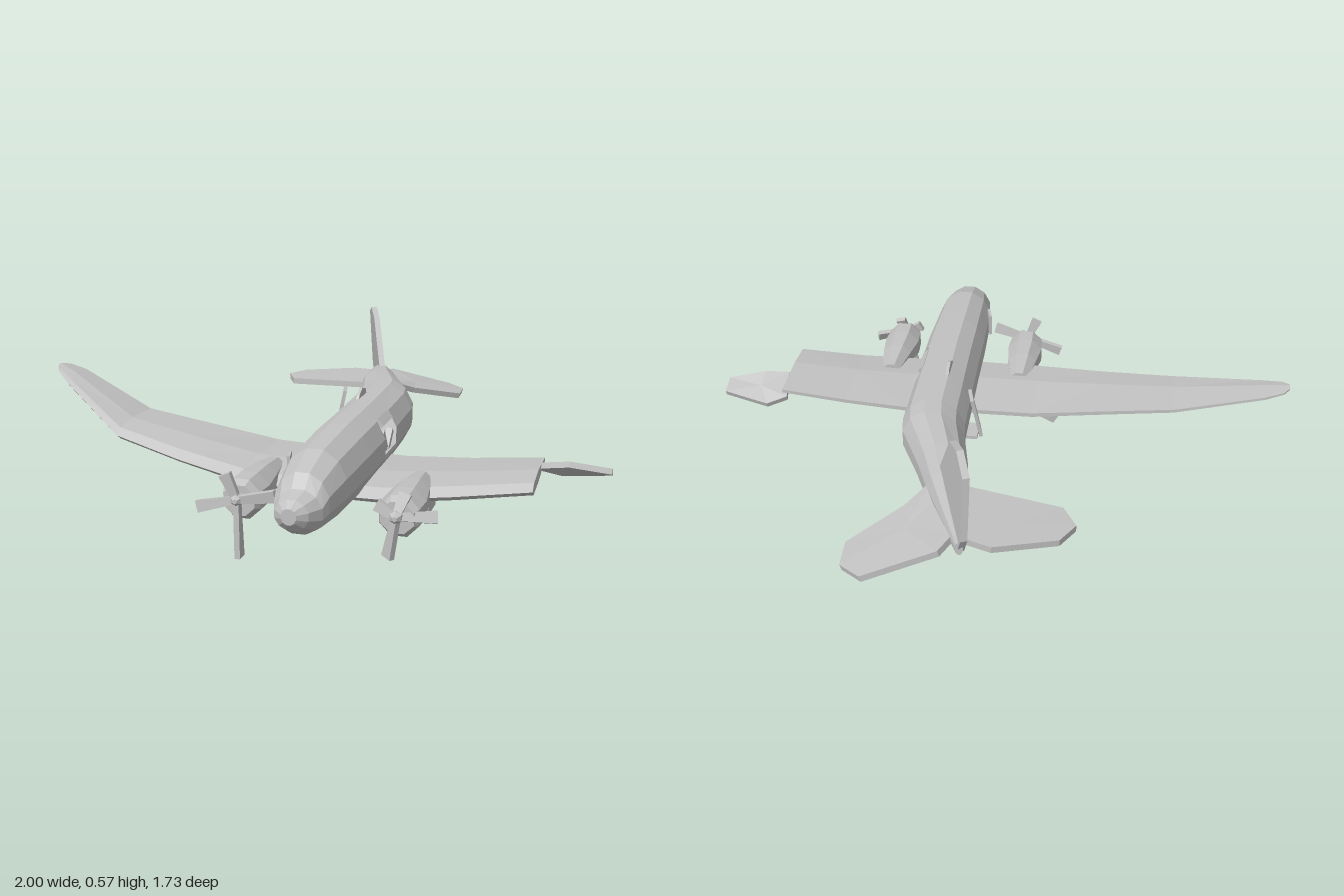
import * as THREE from 'three';

const grey = new THREE.MeshStandardMaterial({ color: 0xc2c2c2, flatShading: true, side: THREE.DoubleSide });
grey.name = 'bare metal grey';
const V = (x, y, z) => new THREE.Vector3(x, y, z);

// Skin between equal rings of points, capped at both ends; skip(i, j) leaves holes
function loft(name, rings, skip = () => false) {
  const p = [], n = rings[0].length;
  const tri = (...t) => t.forEach(v => p.push(v.x, v.y, v.z));
  for (let i = 0; i < rings.length - 1; i++) for (let j = 0; j < n; j++) {
    if (skip(i, j)) continue;
    const k = (j + 1) % n, a = rings[i], b = rings[i + 1];
    tri(a[j], a[k], b[k]);
    tri(a[j], b[k], b[j]);
  }
  [rings[0], rings[rings.length - 1]].forEach((r, e) => {
    const c = r.reduce((s, v) => s.add(v), V(0, 0, 0)).divideScalar(n);
    for (let j = 0; j < n; j++) {
      const k = (j + 1) % n;
      e ? tri(c, r[j], r[k]) : tri(c, r[k], r[j]);
    }
  });
  // Turn the faces outward when the enclosed volume is negative
  let vol = 0;
  for (let i = 0; i < p.length; i += 9)
    vol += V(p[i], p[i + 1], p[i + 2]).dot(V(p[i + 3], p[i + 4], p[i + 5]).cross(V(p[i + 6], p[i + 7], p[i + 8])));
  if (vol < 0) for (let i = 0; i < p.length; i += 9) for (let c = 0; c < 3; c++)
    [p[i + 3 + c], p[i + 6 + c]] = [p[i + 6 + c], p[i + 3 + c]];
  const g = new THREE.BufferGeometry();
  g.setAttribute('position', new THREE.Float32BufferAttribute(p, 3));
  g.computeVertexNormals();
  const m = new THREE.Mesh(g, grey);
  m.name = name;
  return m;
}

// Flat panel: an outline thickened by plus and minus t
function slab(name, pts, t) {
  const v = pts.map(p => V(...p));
  return loft(name, [v.map(p => p.clone().add(t)), v.map(p => p.clone().sub(t))]);
}

// Oval hull section
function oval(n, x, w, top, bottom, z) {
  return Array.from({ length: n }, (_, j) => {
    const a = (j + 0.5) / n * Math.PI * 2;
    return V(x + w * Math.cos(a) / Math.cos(Math.PI / n),
      (top + bottom) / 2 + (top - bottom) / 2 * Math.sin(a) / Math.cos(Math.PI / n), z);
  });
}

// Wing section: trailing z and y, leading z and y, thickness
function airfoil([x, zt, yt, zl, yl, h]) {
  const at = (f, up) => V(x, yt + (yl - yt) * f + up * h, zt + (zl - zt) * f);
  return [at(0, 0.15), at(0.55, 0.6), at(0.9, 0.5), at(1, 0), at(0.9, -0.5), at(0.55, -0.5), at(0, -0.15)];
}

function box(name, size, pos, rot = [0, 0, 0]) {
  const m = new THREE.Mesh(new THREE.BoxGeometry(...size), grey);
  m.position.set(...pos);
  m.rotation.set(...rot);
  m.name = name;
  return m;
}

// Blade with a narrow root and a broad tip
function blade(from, to, w) {
  const len = from.distanceTo(to);
  const g = new THREE.BoxGeometry(w, len, 0.018).translate(0, len / 2, 0);
  const a = g.attributes.position;
  for (let i = 0; i < a.count; i++) if (a.getY(i) < 0.001) a.setX(i, a.getX(i) * 0.6);
  const m = new THREE.Mesh(g, grey);
  m.position.copy(from);
  m.quaternion.setFromUnitVectors(V(0, 1, 0), to.clone().sub(from).normalize());
  m.name = 'propellerBlade';
  return m;
}

function engine(name, x, tips) {
  const g = new THREE.Group();
  g.name = name;
  g.add(loft('nacelle', [
    [0.30, 0.032, 0.222, 0.165], [0.42, 0.053, 0.236, 0.14], [0.52, 0.065, 0.24, 0.113],
    [0.59, 0.06, 0.238, 0.113], [0.615, 0.05, 0.225, 0.13],
  ].map(([z, w, t, b]) => oval(8, x, w, t, b, z))));
  g.add(loft('propellerHub', [
    oval(6, x, 0.02, 0.205, 0.165, 0.605), oval(6, x, 0.018, 0.203, 0.167, 0.635), oval(6, x, 0.007, 0.192, 0.178, 0.65),
  ]));
  tips.forEach(t => g.add(blade(V(x, 0.185, 0.628), V(...t), 0.038)));
  return g;
}

export function createModel() {
  const plane = new THREE.Group();
  plane.name = 'wreckedPlane';

  // Fuselage: z, centre x, half width, top, bottom; the tail is bent sideways
  const hull = [
    [0.86, 0.185, 0.022, 0.262, 0.215], [0.835, 0.185, 0.05, 0.28, 0.19], [0.785, 0.188, 0.072, 0.295, 0.163],
    [0.755, 0.19, 0.08, 0.335, 0.157], [0.64, 0.19, 0.097, 0.37, 0.148], [0.4, 0.19, 0.105, 0.383, 0.143],
    [0.235, 0.19, 0.106, 0.384, 0.142], [0.08, 0.187, 0.106, 0.383, 0.142], [-0.16, 0.182, 0.107, 0.384, 0.148],
    [-0.23, 0.172, 0.105, 0.383, 0.158], [-0.4, 0.113, 0.083, 0.376, 0.177], [-0.52, 0.083, 0.062, 0.365, 0.193],
    [-0.65, 0.045, 0.035, 0.335, 0.235], [-0.78, 0.002, 0.012, 0.31, 0.265],
  ].map(([z, x, w, t, b]) => oval(12, x, w, t, b, z));
  plane.add(loft('fuselage', hull, (i, j) => i === 6 && (j === 0 || j === 11)));

  // Broken window frame and loose bars in the side opening
  plane.add(
    box('windowSill', [0.02, 0.012, 0.16], [0.285, 0.232, 0.155], [0, 0, 0.2]),
    box('windowLintel', [0.03, 0.012, 0.12], [0.27, 0.34, 0.155], [0, 0, -0.8]),
    box('looseBar', [0.025, 0.09, 0.025], [0.27, 0.27, 0.18], [0.6, 0, 0]),
    box('looseBar', [0.02, 0.08, 0.02], [0.275, 0.26, 0.12], [-0.8, 0, 0]),
    box('tornDoor', [0.012, 0.15, 0.075], [0.05, 0.295, -0.09], [0, 0.25, -0.2]),
    box('doorSill', [0.05, 0.012, 0.08], [0.065, 0.22, -0.09]),
    box('noseHatch', [0.01, 0.08, 0.06], [0.085, 0.285, 0.565], [0, 0.25, 0]));
  plane.add(slab('roofFairing', [[0.16, 0.37, 0.1], [0.16, 0.395, 0.08], [0.16, 0.412, 0.045], [0.16, 0.4, 0.005],
    [0.16, 0.37, -0.01]], V(0.005, 0, 0)));

  // Long wing with raised tip, and the snapped wing
  plane.add(loft('longWing', [
    [0.2, 0.07, 0.19, 0.45, 0.165, 0.05], [-0.13, 0.06, 0.2, 0.43, 0.175, 0.05],
    [-0.38, 0.053, 0.235, 0.37, 0.205, 0.045], [-0.63, 0.045, 0.27, 0.305, 0.245, 0.04],
    [-0.92, -0.015, 0.385, 0.12, 0.365, 0.03], [-0.98, -0.008, 0.405, 0.075, 0.395, 0.02],
    [-1.0, 0.015, 0.41, 0.045, 0.405, 0.015],
  ].map(airfoil)));
  plane.add(loft('snappedWing', [
    [0.2, 0.07, 0.19, 0.45, 0.165, 0.05], [0.33, 0.065, 0.185, 0.445, 0.165, 0.05],
    [0.55, 0.065, 0.2, 0.41, 0.185, 0.045], [0.785, 0.065, 0.225, 0.38, 0.215, 0.04],
  ].map(airfoil)));
  plane.add(slab('hangingWingTip', [[0.77, 0.195, 0.065], [0.84, 0.175, 0.04], [1.0, 0.2, 0.065], [1.0, 0.222, 0.125],
    [0.87, 0.242, 0.155], [0.785, 0.235, 0.17]], V(0, 0.009, -0.003)));

  // Engines with bent propellers
  plane.add(
    engine('rightEngine', -0.06, [[-0.057, 0, 0.625], [-0.095, 0.265, 0.635], [-0.195, 0.145, 0.615], [0.07, 0.215, 0.645]]),
    engine('leftEngine', 0.43, [[0.405, 0.055, 0.62], [0.54, 0.18, 0.58], [0.37, 0.215, 0.62], [0.45, 0.25, 0.6]]));
  plane.add(
    box('hangingWheelBay', [0.13, 0.07, 0.095], [-0.15, 0.09, 0.312], [0, 0.25, 0.58]),
    box('wheelBay', [0.06, 0.07, 0.105], [0.43, 0.12, 0.268]),
    box('tailWheelStrut', [0.012, 0.06, 0.015], [0.082, 0.19, -0.525], [0.5, 0, 0]),
    box('tailWheel', [0.02, 0.025, 0.035], [0.082, 0.17, -0.53], [0.5, 0, 0]));

  // Tail surfaces, twisted along with the bent tail
  const finX = (z, y) => 0.1 + (z + 0.49) * 0.37 - (y - 0.3) * 0.08;
  plane.add(slab('fin', [[-0.49, 0.36], [-0.59, 0.535], [-0.675, 0.565], [-0.765, 0.535], [-0.795, 0.33], [-0.77, 0.27],
    [-0.6, 0.28]].map(([z, y]) => [finX(z, y), y, z]), V(0.01, 0, -0.004)));
  plane.add(slab('rightTailplane', [[0.07, 0.29, -0.49], [-0.285, 0.27, -0.545], [-0.33, 0.27, -0.625],
    [-0.285, 0.272, -0.7], [-0.09, 0.28, -0.765], [0.03, 0.285, -0.73]], V(0, 0.011, 0)));
  plane.add(slab('leftTailplane', [[0.05, 0.3, -0.49], [0.125, 0.3, -0.495], [0.2, 0.26, -0.58], [0.355, 0.215, -0.72],
    [0.35, 0.213, -0.82], [0.28, 0.22, -0.87], [0.06, 0.28, -0.8], [0.02, 0.29, -0.72]], V(0.003, 0.01, 0)));

  return plane;
}
